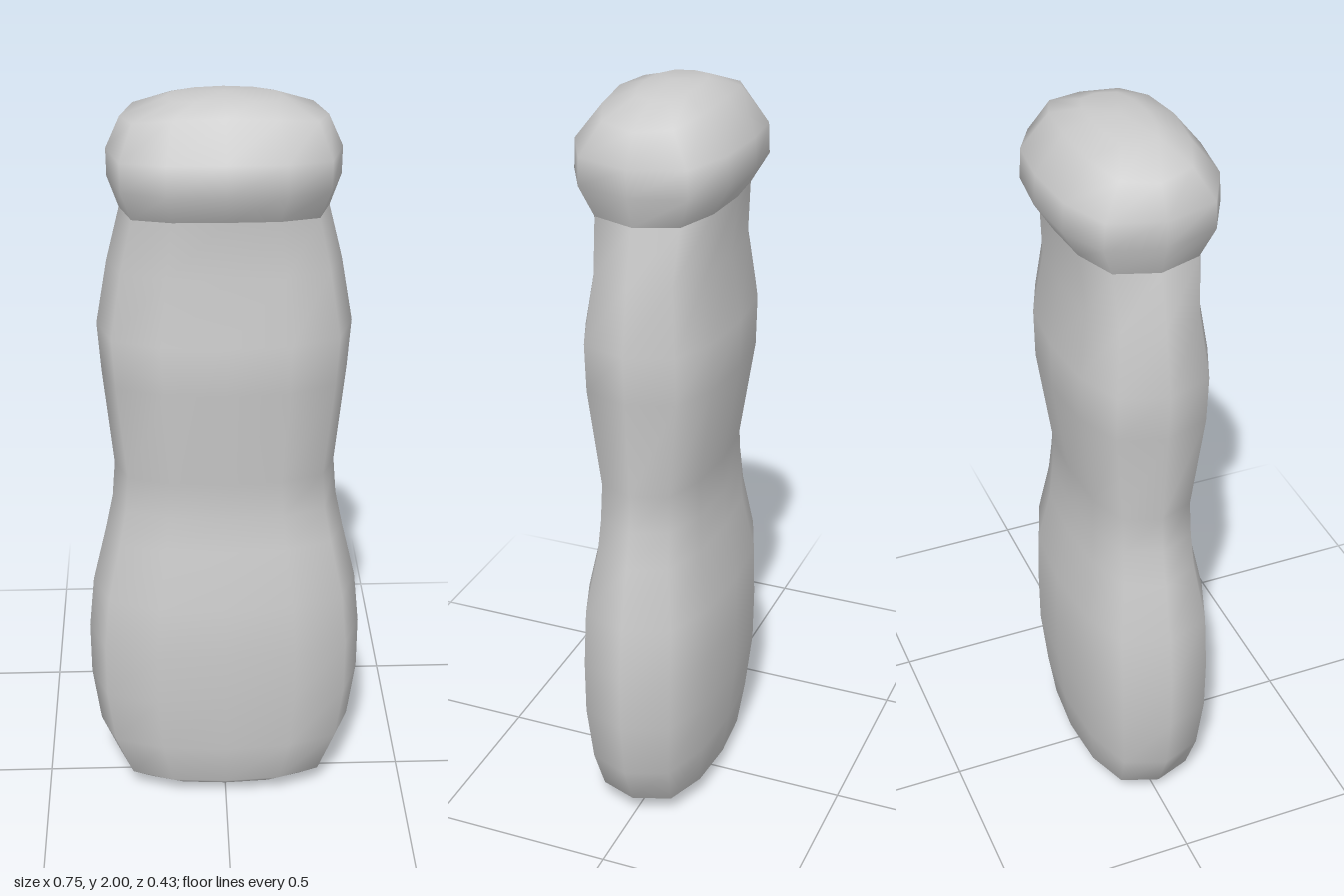
import * as THREE from 'three';

// one quadrant of the 12-sided, slightly squared oval section
const QUADRANT = [[1, 0], [0.877, 0.65], [0.5, 0.925]];
const SIDES = 12;

function sectionPoint(j) {
  const q = Math.floor(j / 3), k = j % 3;
  if (q === 0) return QUADRANT[k];
  if (q === 2) return QUADRANT[k].map((v) => -v);
  const [x, z] = k === 0 ? [0, 1] : QUADRANT[3 - k];
  return q === 1 ? [-x, z] : [x, -z];
}

// rings: [y, half width, half depth, drop at the sides]; poles close the ends
function loft(rings, { bottom, top }) {
  const pos = [], index = [];
  for (const [y, a, b, drop = 0] of rings) {
    for (let j = 0; j < SIDES; j++) {
      const [x, z] = sectionPoint(j);
      pos.push(x * a, y - drop * x * x, z * b);
    }
  }
  const last = (rings.length - 1) * SIDES;
  for (let i = 0; i < last; i += SIDES) {
    for (let j = 0; j < SIDES; j++) {
      const a = i + j, b = i + (j + 1) % SIDES;
      index.push(a, a + SIDES, b, b, a + SIDES, b + SIDES);
    }
  }
  const addPole = (y, start, up) => {
    const pole = pos.length / 3;
    pos.push(0, y, 0);
    for (let j = 0; j < SIDES; j++) {
      const a = start + j, b = start + (j + 1) % SIDES;
      index.push(...(up ? [a, pole, b] : [a, b, pole]));
    }
  };
  if (bottom !== undefined) addPole(bottom, 0, false);
  if (top !== undefined) addPole(top, last, true);
  const geometry = new THREE.BufferGeometry();
  geometry.setAttribute('position', new THREE.Float32BufferAttribute(pos, 3));
  geometry.setIndex(index);
  geometry.computeVertexNormals();
  return geometry;
}

export function createModel() {
  const group = new THREE.Group();
  const material = new THREE.MeshStandardMaterial({ color: 0xcccccc, side: THREE.DoubleSide });
  const add = (name, geometry) => {
    const mesh = new THREE.Mesh(geometry, material);
    mesh.name = name;
    group.add(mesh);
  };

  // waisted bottle body with a rounded base
  add('body', loft([
    [0.008, 0.135, 0.06], [0.022, 0.24, 0.11], [0.06, 0.298, 0.153], [0.18, 0.35, 0.168],
    [0.34, 0.372, 0.185], [0.49, 0.373, 0.187], [0.64, 0.358, 0.185], [0.8, 0.32, 0.152],
    [0.9, 0.299, 0.146], [1.0, 0.291, 0.143], [1.27, 0.318, 0.184], [1.4, 0.327, 0.185],
    [1.57, 0.297, 0.158], [1.725, 0.262, 0.17, 0.015],
  ], { bottom: 0 }));

  // bulging cap with a shallow dome
  add('cap', loft([
    [1.725, 0.262, 0.17, 0.015], [1.8, 0.29, 0.217, 0.01], [1.88, 0.291, 0.213, 0.02],
    [1.972, 0.255, 0.14, 0.032], [1.992, 0.145, 0.07, 0.007],
  ], { top: 2 }));

  return group;
}
